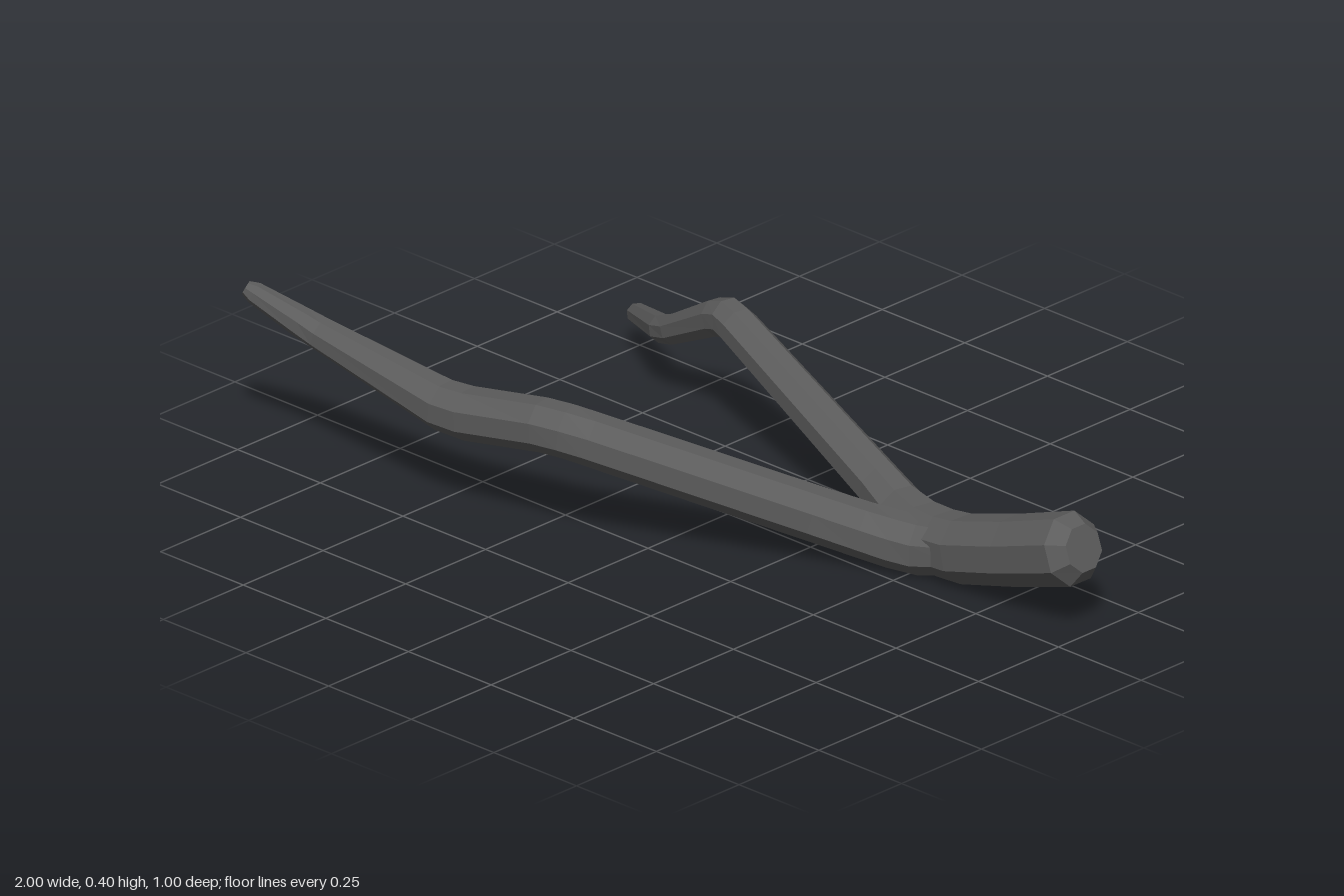
import * as THREE from 'three';

const SIDES = 8;

// Sweeps an octagon (flat side up) along stations [x, y, z, halfWidth] and closes both ends.
function limb(name, stations, material) {
  const centres = stations.map(s => new THREE.Vector3(s[0], s[1], s[2]));
  const up = new THREE.Vector3(0, 1, 0);
  const last = centres.length - 1;
  const positions = [];
  const index = [];

  centres.forEach((c, i) => {
    const from = Math.max(i, 1);
    const to = Math.min(i + 1, last);
    const dirIn = centres[from].clone().sub(centres[from - 1]).normalize();
    const dirOut = centres[to].clone().sub(centres[to - 1]).normalize();
    const tangent = dirIn.add(dirOut).normalize();
    const side = new THREE.Vector3().crossVectors(up, tangent).normalize();
    const top = new THREE.Vector3().crossVectors(tangent, side);
    const r = stations[i][3] / Math.cos(Math.PI / SIDES);
    for (let k = 0; k < SIDES; k++) {
      const a = (k + 0.5) / SIDES * Math.PI * 2;
      const p = c.clone().addScaledVector(side, r * Math.cos(a)).addScaledVector(top, r * Math.sin(a));
      positions.push(p.x, p.y, p.z);
    }
  });

  for (let i = 0; i < last; i++) {
    for (let k = 0; k < SIDES; k++) {
      const a = i * SIDES + k;
      const b = i * SIDES + (k + 1) % SIDES;
      index.push(a, b, b + SIDES, a, b + SIDES, a + SIDES);
    }
  }
  // End caps
  const e = last * SIDES;
  for (let k = 1; k < SIDES - 1; k++) {
    index.push(0, k + 1, k);
    index.push(e, e + k, e + k + 1);
  }

  const indexed = new THREE.BufferGeometry();
  indexed.setAttribute('position', new THREE.Float32BufferAttribute(positions, 3));
  indexed.setIndex(index);
  const geometry = indexed.toNonIndexed();
  geometry.computeVertexNormals();
  const mesh = new THREE.Mesh(geometry, material);
  mesh.name = name;
  return mesh;
}

export function createModel() {
  const bark = new THREE.MeshStandardMaterial({ color: 0x5c5c5c });
  bark.name = 'dark grey bark';

  const group = new THREE.Group();
  group.name = 'forkedBranch';

  // Thick stem with bevelled cut end, running on into the rear fork
  group.add(limb('stemAndRearFork', [
    [0.985, 0.203, -0.095, 0.05],
    [0.95, 0.191, -0.095, 0.077],
    [0.78, 0.132, -0.098, 0.074],
    [0.62, 0.083, -0.103, 0.072],
    [0.55, 0.073, -0.109, 0.07],
    [0.47, 0.073, -0.122, 0.065],
    [0.38, 0.09, -0.145, 0.055],
    [0.3, 0.114, -0.166, 0.051],
    [-0.25, 0.275, -0.292, 0.043],
    [-0.29, 0.281, -0.302, 0.042],
    [-0.33, 0.267, -0.31, 0.04],
    [-0.49, 0.178, -0.337, 0.032],
    [-0.54, 0.158, -0.353, 0.03],
    [-0.738, 0.09, -0.479, 0.022],
    [-0.757, 0.084, -0.491, 0.014],
  ], bark));

  // Front fork, growing out of the stem
  group.add(limb('frontFork', [
    [0.62, 0.08, -0.1, 0.05],
    [0.51, 0.063, -0.078, 0.06],
    [0.45, 0.069, -0.053, 0.06],
    [0.39, 0.084, -0.018, 0.058],
    [0.3, 0.113, 0.041, 0.057],
    [-0.1, 0.256, 0.322, 0.056],
    [-0.15, 0.268, 0.348, 0.056],
    [-0.21, 0.268, 0.361, 0.056],
    [-0.41, 0.24, 0.386, 0.056],
    [-0.48, 0.24, 0.393, 0.054],
    [-0.83, 0.307, 0.416, 0.035],
    [-0.88, 0.325, 0.429, 0.032],
    [-0.972, 0.38, 0.477, 0.023],
    [-0.989, 0.39, 0.486, 0.015],
  ], bark));

  return group;
}
